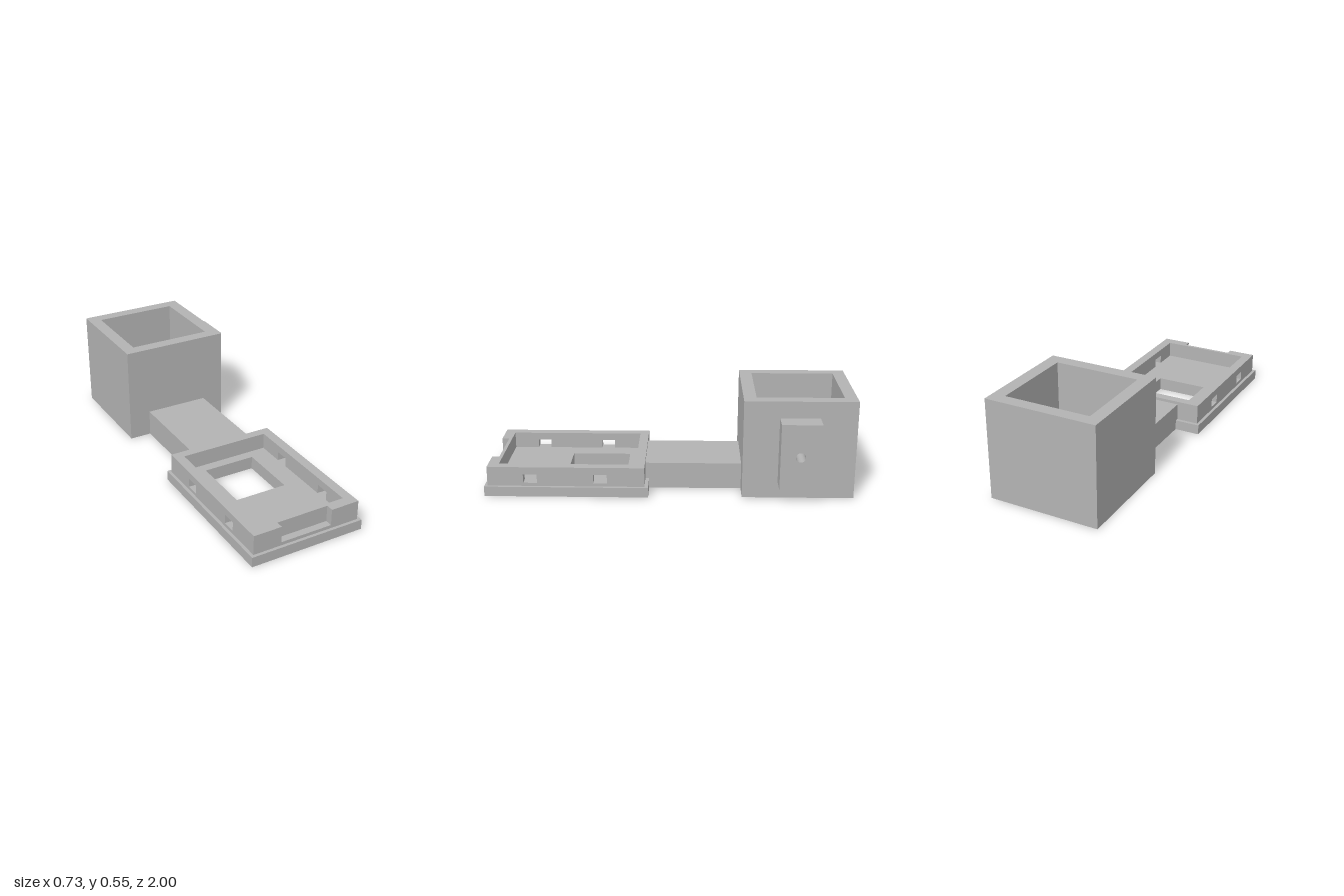
import * as THREE from 'three';

const grey = new THREE.MeshStandardMaterial({ color: 0xb3b3b3 });
grey.name = 'plain grey';

// Rectangle outline from two corners
const rect = (a0, b0, a1, b1) => [[a0, b0], [a1, b0], [a1, b1], [a0, b1]].map(p => new THREE.Vector2(...p));

// Outline with holes, pushed out by a depth
function extrude(outline, holes, depth) {
  const shape = new THREE.Shape(outline);
  for (const h of holes) shape.holes.push(h instanceof THREE.Path ? h : new THREE.Path(h));
  return new THREE.ExtrudeGeometry(shape, { depth, bevelEnabled: false, curveSegments: 24 });
}
// Outline in (x, -z), raised from y0 to y1
const alongY = (outline, holes, y0, y1) =>
  extrude(outline, holes, y1 - y0).rotateX(-Math.PI / 2).translate(0, y0, 0);
// Outline in (-z, y), running from x0 to x1
const alongX = (outline, holes, x0, x1) =>
  extrude(outline, holes, x1 - x0).rotateY(Math.PI / 2).translate(x0, 0, 0);

function block(x0, x1, y0, y1, z0, z1) {
  return new THREE.BoxGeometry(x1 - x0, y1 - y0, z1 - z0)
    .translate((x0 + x1) / 2, (y0 + y1) / 2, (z0 + z1) / 2);
}

export function createModel() {
  const model = new THREE.Group();
  model.name = 'mountBracket';
  const add = (parent, name, geometry) => {
    const mesh = new THREE.Mesh(geometry, grey);
    mesh.name = name;
    parent.add(mesh);
  };
  const group = name => {
    const g = new THREE.Group();
    g.name = name;
    model.add(g);
    return g;
  };

  // Tray: base plate and raised floor share a rectangular opening
  const tray = group('tray');
  const opening = rect(-0.196, -0.565, 0.095, -0.235);
  const base = 0.055, floor = 0.073, rim = 0.163;
  add(tray, 'basePlate', alongY(rect(-0.367, -1, 0.274, -0.11), [opening], 0, base));
  add(tray, 'trayFloor', alongY(rect(-0.297, -0.925, 0.204, -0.18), [opening], base, floor));

  // Tray side walls, each with two small windows
  const windows = [0.333, 0.713].map(z => rect(-z - 0.075, floor, -z, 0.122));
  for (const [name, x0, x1] of [['rightWall', -0.35, -0.297], ['leftWall', 0.204, 0.257]])
    add(tray, name, alongX(rect(-0.983, base, -0.13, rim), windows, x0, x1));

  // Tray end walls; the front one has a recess in its outer face
  add(tray, 'rearWall', block(-0.297, 0.204, base, rim, 0.13, 0.18));
  add(tray, 'frontWall', block(-0.297, 0.204, base, rim, 0.925, 0.943));
  const recessed = [[-0.297, base], [0.204, base], [0.204, rim], [0.097, rim],
    [0.097, floor], [-0.194, floor], [-0.194, rim], [-0.297, rim]].map(p => new THREE.Vector2(...p));
  add(tray, 'frontRecess', extrude(recessed, [], 0.04).translate(0, 0, 0.943));

  // Neck joining tray and socket
  add(model, 'neck', block(-0.227, 0.133, 0, 0.147, -0.397, 0.13));

  // Square socket open at top and bottom: three walls plus the drilled wall
  const socket = group('socket');
  const top = 0.545;
  const threeSides = [[0.185, 0.397], [-0.35, 0.397], [-0.35, 1], [0.185, 1],
    [0.185, 0.932], [-0.281, 0.932], [-0.281, 0.466], [0.185, 0.466]].map(p => new THREE.Vector2(...p));
  add(socket, 'socketWalls', alongY(threeSides, [], 0, top));
  const bolt = () => new THREE.Path().absarc(0.694, 0.273, 0.026, 0, Math.PI * 2, true);
  add(socket, 'drilledWall', alongX(rect(0.397, 0, 1, top), [bolt()], 0.185, 0.256));

  // Side lug with the bolt hole
  add(socket, 'lug', alongX(rect(0.588, 0.092, 0.802, 0.453), [bolt()], 0.256, 0.366));

  return model;
}
